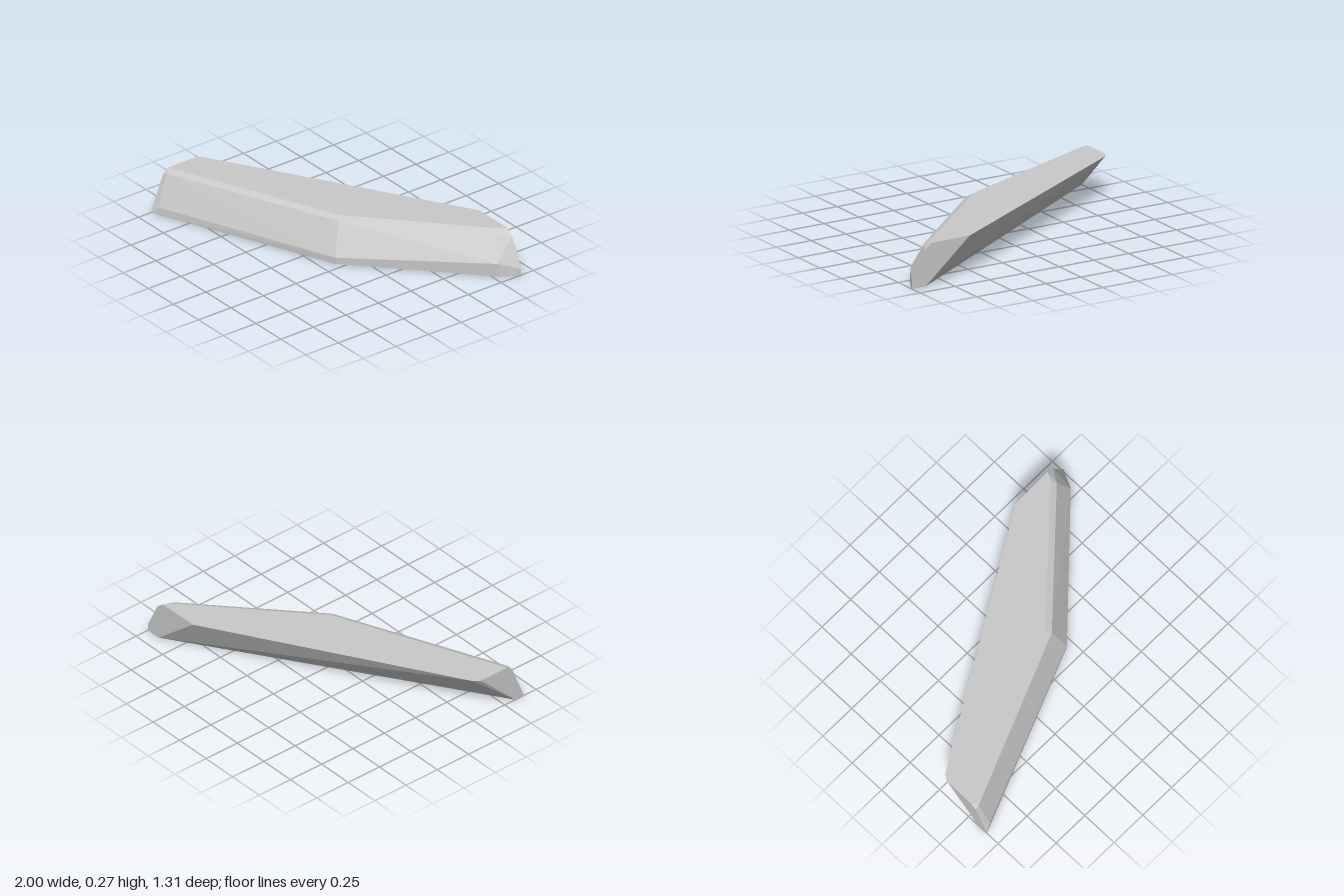
import * as THREE from 'three';
import { ConvexGeometry } from 'three/addons/geometries/ConvexGeometry.js';

// Faceted stone slab: a convex hull of its corners, grouped by edge line
export function createModel() {
  const group = new THREE.Group();
  group.name = 'stoneSlab';

  const corners = [
    // flat top
    [-1, 0.27, 0.31], [-0.97, 0.27, 0.27], [0.58, 0.27, -0.65], [0.86, 0.27, -0.655],
    [0.83, 0.27, -0.6], [0.11, 0.27, 0.06], [-1, 0.27, 0.52],
    // bevelled shoulder along the front
    [-1, 0.24, 0.56], [-0.97, 0.25, 0.555], [0.14, 0.25, 0.09], [0.855, 0.25, -0.57], [0.91, 0.23, -0.655],
    // lower ridge of the front wall
    [-0.95, 0.05, 0.632], [0.2, 0.045, 0.16], [0.93, 0.09, -0.525], [1, 0.045, -0.655],
    // narrow base, leaving the back undercut
    [-1, 0, 0.655], [0.2, 0, 0.157], [0.94, 0, -0.54], [0.975, 0, -0.6], [1, 0, -0.655],
    [0.9, 0, -0.655], [-1, 0, 0.585],
  ].map((p) => new THREE.Vector3(...p));

  const stone = new THREE.MeshStandardMaterial({ color: 0xc8c8c8, flatShading: true });
  stone.name = 'grey stone';

  const slab = new THREE.Mesh(new ConvexGeometry(corners), stone);
  slab.name = 'slab';
  group.add(slab);
  return group;
}
